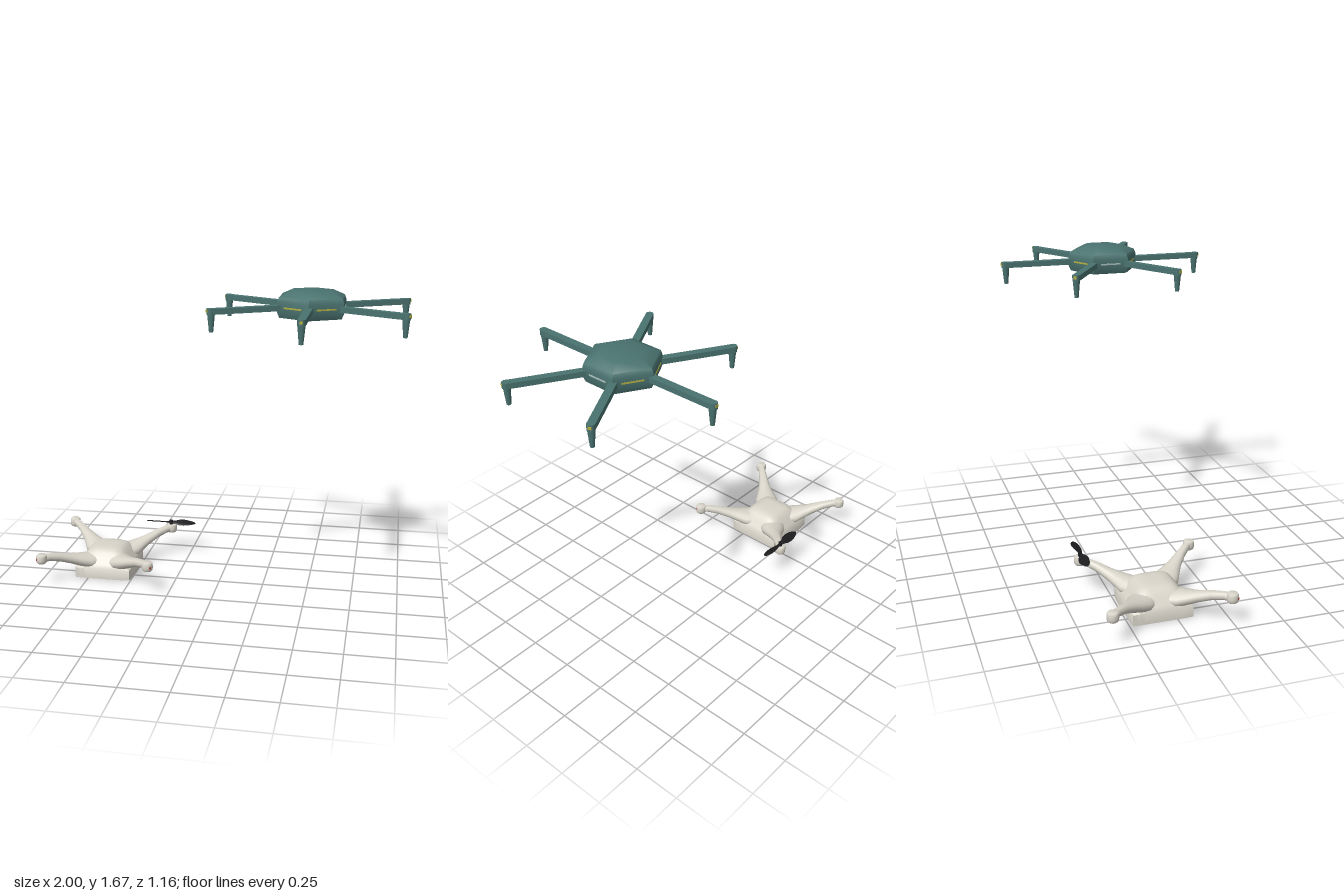
import * as THREE from 'three';
import { toCreasedNormals } from 'three/addons/utils/BufferGeometryUtils.js';

const material = (name, color) => new THREE.MeshStandardMaterial({ name, color });

// Skin a closed surface over rings of points running along +axis.
function loft(rings, crease) {
  const n = rings[0].length, index = [];
  for (let i = 0; i < rings.length - 1; i++) {
    for (let j = 0; j < n; j++) {
      const a = i * n + j, b = i * n + (j + 1) % n;
      index.push(a, b, a + n, b, b + n, a + n);
    }
  }
  const geo = new THREE.BufferGeometry().setFromPoints(rings.flat());
  geo.setIndex(index);
  return toCreasedNormals(geo, crease);
}

// Ring around y: superellipse with the given exponent (high = square).
function squareRing(half, y, power, n = 48) {
  return Array.from({ length: n }, (_, j) => {
    const t = (j / n) * Math.PI * 2, c = Math.cos(t), s = Math.sin(t);
    const r = half / (Math.abs(c) ** power + Math.abs(s) ** power) ** (1 / power);
    return new THREE.Vector3(s * r, y, c * r);
  });
}

// Ring around x: ellipse, optionally twisted about its centre.
function ovalRing(x, y, halfH, halfW, twist = 0, n = 16) {
  return Array.from({ length: n }, (_, j) => {
    const t = (j / n) * Math.PI * 2;
    const h = Math.cos(t) * halfH, w = Math.sin(t) * halfW;
    return new THREE.Vector3(x, y + h * Math.cos(twist) - w * Math.sin(twist),
      h * Math.sin(twist) + w * Math.cos(twist));
  });
}

function add(parent, name, geo, mat, x = 0, y = 0, z = 0) {
  const mesh = new THREE.Mesh(geo, mat);
  mesh.name = name;
  mesh.position.set(x, y, z);
  parent.add(mesh);
  return mesh;
}

function group(parent, name, x = 0, y = 0, z = 0) {
  const g = new THREE.Group();
  g.name = name;
  g.position.set(x, y, z);
  parent.add(g);
  return g;
}

function buildQuadcopter(root, cream, black, red) {
  const quad = group(root, 'quadcopter', -0.666, 0, -0.075);

  // Square base with a rounded dome: half width, height, squareness
  const body = [[0, 0, 30], [0.163, 0, 30], [0.163, 0.06, 30], [0.148, 0.08, 10],
    [0.125, 0.112, 6], [0.104, 0.138, 5], [0.082, 0.153, 4], [0.05, 0.157, 3], [0, 0.158, 2]];
  add(quad, 'quadBody', loft(body.map(s => squareRing(...s)), 0.8), cream);

  // Arm sections: offset, bottom, top, half width
  const sections = [[0.06, 0.05, 0.12, 0], [0.06, 0.04, 0.125, 0.075], [0.11, 0.045, 0.133, 0.07],
    [0.145, 0.068, 0.141, 0.052], [0.18, 0.092, 0.152, 0.037], [0.23, 0.121, 0.171, 0.026],
    [0.275, 0.137, 0.182, 0.021], [0.305, 0.139, 0.184, 0.021], [0.305, 0.16, 0.16, 0]];
  const armGeo = loft(sections.map(([d, lo, hi, w]) =>
    ovalRing(d * Math.SQRT2, (lo + hi) / 2, (hi - lo) / 2, w)), 0.9);
  const tip = 0.305 * Math.SQRT2;
  const podProfile = [[0, 0.135], [0.022, 0.135], [0.028, 0.141], [0.031, 0.155],
    [0.03, 0.176], [0.025, 0.185], [0, 0.186]].map(p => new THREE.Vector2(...p));
  const podGeo = new THREE.LatheGeometry(podProfile, 20);

  for (let k = 0; k < 4; k++) {
    const arm = group(quad, 'quadArm');
    arm.rotation.y = Math.PI / 4 + k * Math.PI / 2;
    add(arm, 'curvedArm', armGeo, cream);
    add(arm, 'motorPod', podGeo, cream, tip);
    // Lights on the two front arms only
    if (k >= 2) add(arm, 'armLight', new THREE.BoxGeometry(0.006, 0.012, 0.012), red, tip + 0.029, 0.16);
  }

  // Single propeller on the back left arm
  const prop = group(quad, 'propeller', 0.303, 0.197, -0.303);
  add(prop, 'propellerHub', new THREE.CylinderGeometry(0.01, 0.012, 0.024, 16), black);
  const blade = [[0, 0.003, 0, 0.5], [0.004, 0.004, 0.01, 0.5], [0.025, 0.004, 0.014, 0.48],
    [0.05, 0.003, 0.025, 0.42], [0.08, 0.003, 0.028, 0.36], [0.115, 0.002, 0.023, 0.26],
    [0.14, 0.002, 0.014, 0.18], [0.152, 0.001, 0, 0.15]];
  const bladeGeo = loft(blade.map(([x, h, w, t]) => ovalRing(x, 0, h, w, t)), 1.2);
  for (let k = 0; k < 2; k++) add(prop, 'blade', bladeGeo, black).rotation.y = k * Math.PI;
}

function buildHexacopter(root, teal, yellow, pale) {
  const hex = group(root, 'hexacopter', 0.49, 0, 0);

  // Hexagonal hull: corner radius, height
  const hull = [[0, 1.533], [0.185, 1.533], [0.197, 1.56], [0.197, 1.615],
    [0.188, 1.638], [0.12, 1.667], [0, 1.671]];
  const rings = hull.map(([r, y]) => Array.from({ length: 6 }, (_, j) =>
    new THREE.Vector3(Math.sin(j * Math.PI / 3) * r, y, Math.cos(j * Math.PI / 3) * r)));
  add(hex, 'hexHull', loft(rings, 0.9), teal);

  const armGeo = new THREE.BoxGeometry(0.4, 0.029, 0.04);
  const capGeo = new THREE.CylinderGeometry(0.02, 0.02, 0.031, 16);
  const legGeo = new THREE.CylinderGeometry(0.021, 0.011, 0.106, 14);
  for (let k = 0; k < 6; k++) {
    // Straight arm with a rounded end and a tapered leg
    const arm = group(hex, 'hexArm');
    arm.rotation.y = -(Math.PI / 6 + k * Math.PI / 3);
    add(arm, 'armBeam', armGeo, teal, 0.36, 1.584);
    add(arm, 'armEnd', capGeo, teal, 0.56, 1.584);
    add(arm, 'landingLeg', legGeo, teal, 0.556, 1.533);
    add(arm, 'armMarker', new THREE.BoxGeometry(0.004, 0.014, 0.016), yellow, 0.58, 1.587);

    // Thin light strip on each side of the hull
    const side = group(hex, 'hullSide');
    side.rotation.y = -k * Math.PI / 3;
    add(side, 'lightStrip', new THREE.BoxGeometry(0.006, 0.008, 0.11), k % 3 ? yellow : pale, 0.17, 1.587);
  }
}

export function createModel() {
  const root = new THREE.Group();
  root.name = 'twoDrones';
  buildQuadcopter(root, material('cream', 0xd9d5ca), material('black', 0x1c1c1f), material('red', 0xb5453c));
  buildHexacopter(root, material('teal', 0x4a7370), material('yellow', 0xb5b040), material('pale', 0xa9bfba));
  return root;
}
